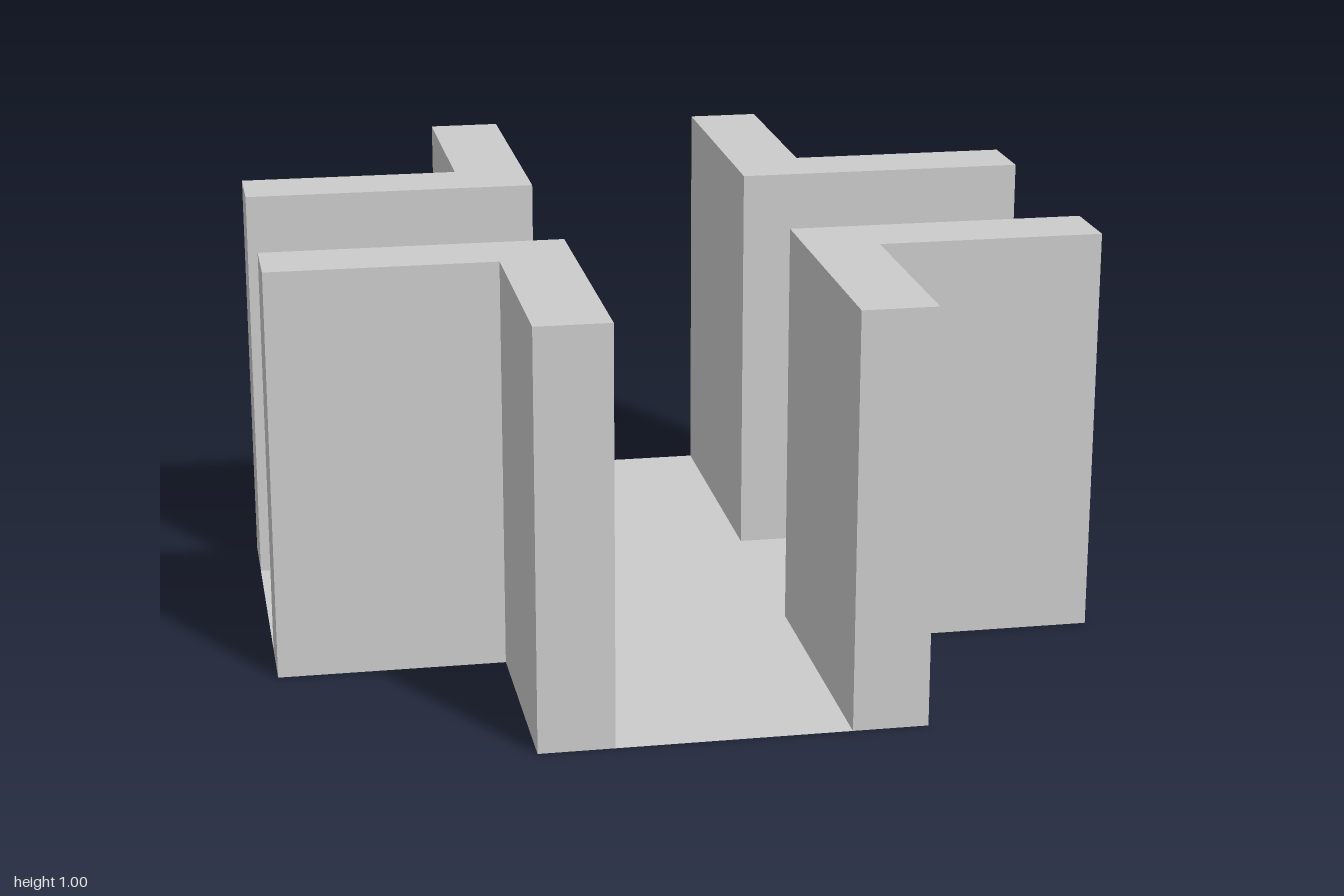
import * as THREE from 'three';
import { mergeGeometries } from 'three/addons/utils/BufferGeometryUtils.js';

const INNER = 0.275; // half width of the channels
const OUTER = 0.453; // outside face of the walls
const HEIGHT = 1;

const toShape = (points) => new THREE.Shape(points.map(([x, y]) => new THREE.Vector2(x, y)));

// Hollow L-shaped wall: vertical sides and a top cap, open underneath
function cornerWallGeometry() {
  const outline = [
    [INNER, INNER], [1, INNER], [1, OUTER],
    [OUTER, OUTER], [OUTER, 1], [INNER, 1],
  ];
  const parts = outline.map(([x0, y0], i) => {
    const [x1, y1] = outline[(i + 1) % outline.length];
    return new THREE.PlaneGeometry(Math.hypot(x1 - x0, y1 - y0), HEIGHT)
      .rotateY(Math.atan2(y1 - y0, x1 - x0))
      .translate((x0 + x1) / 2, HEIGHT / 2, -(y0 + y1) / 2);
  });
  parts.push(new THREE.ShapeGeometry(toShape(outline)).rotateX(-Math.PI / 2).translate(0, HEIGHT, 0));
  return mergeGeometries(parts);
}

// Thin cross-shaped floor between the walls
function floorGeometry() {
  const a = INNER;
  const cross = [
    [a, a], [a, 1], [-a, 1], [-a, a], [-1, a], [-1, -a],
    [-a, -a], [-a, -1], [a, -1], [a, -a], [1, -a], [1, a],
  ];
  return new THREE.ShapeGeometry(toShape(cross)).rotateX(-Math.PI / 2);
}

export function createModel() {
  const model = new THREE.Group();
  model.name = 'crossChannel';
  const material = new THREE.MeshStandardMaterial({ color: 0xcccccc, side: THREE.DoubleSide });

  const floor = new THREE.Mesh(floorGeometry(), material);
  floor.name = 'floor';
  model.add(floor);

  // One wall per quadrant
  const wallGeometry = cornerWallGeometry();
  ['backLeft', 'backRight', 'frontRight', 'frontLeft'].forEach((corner, i) => {
    const wall = new THREE.Mesh(wallGeometry, material);
    wall.name = `${corner}Wall`;
    wall.rotation.y = i * Math.PI / 2;
    model.add(wall);
  });
  return model;
}
